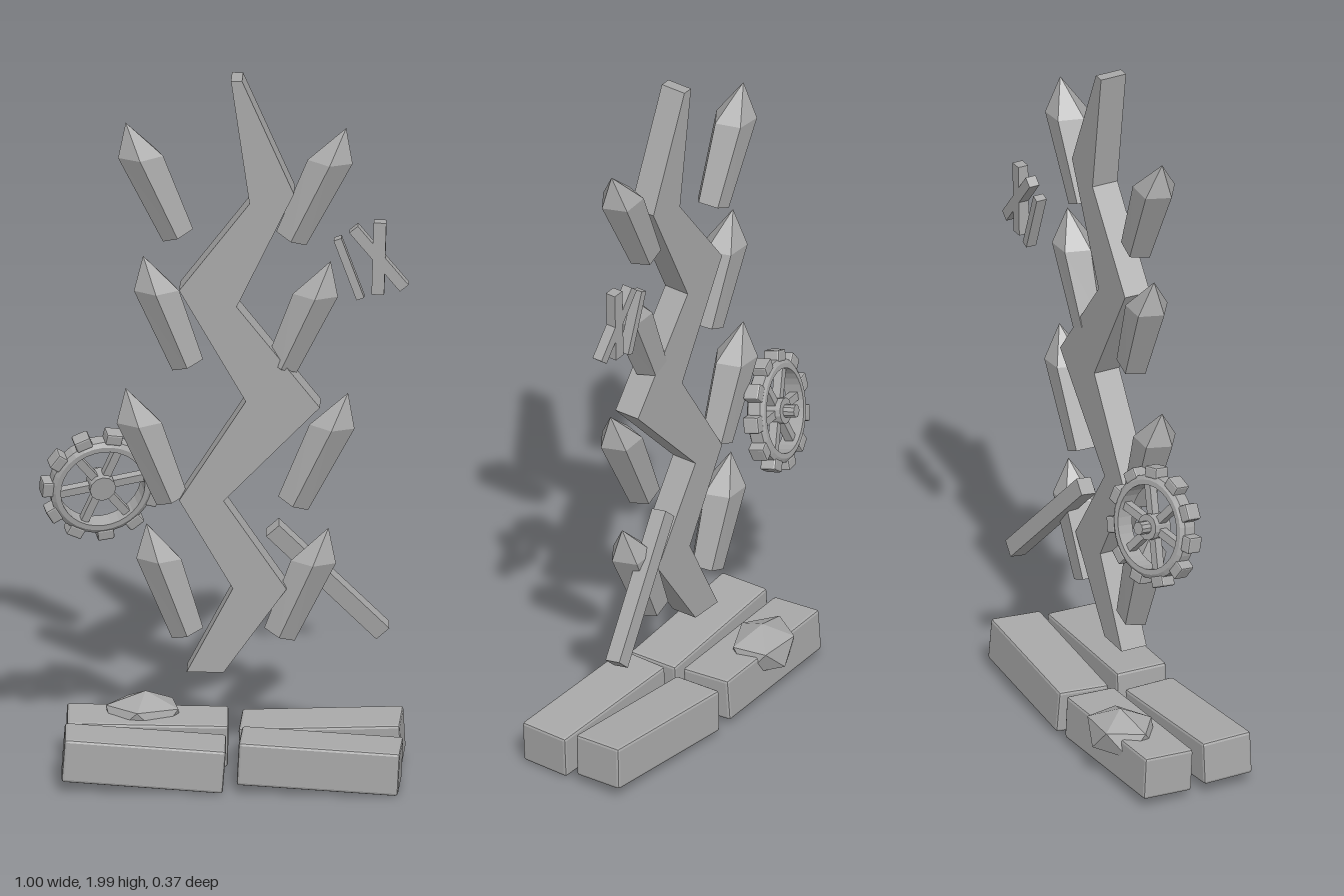
import * as THREE from 'three';
import { RoundedBoxGeometry } from 'three/addons/geometries/RoundedBoxGeometry.js';

const UP = new THREE.Vector3(0, 1, 0);

export function createModel() {
  const model = new THREE.Group();
  model.name = 'crystalTotem';
  const stone = new THREE.MeshStandardMaterial({ color: 0xa8a8a8, flatShading: true });
  stone.name = 'stone grey';

  function add(parent, name, geometry, pos = [0, 0, 0], rot = [0, 0, 0]) {
    const mesh = new THREE.Mesh(geometry, stone);
    mesh.name = name;
    mesh.position.set(...pos);
    mesh.rotation.set(...rot);
    parent.add(mesh);
    return mesh;
  }

  // Zigzag trunk: right edge downwards, then left edge upwards
  const outline = [
    [0.05, 2], [0.19, 1.68], [0.035, 1.355], [0.26, 1.07], [0, 0.8], [0.17, 0.55], [0, 0.31],
    [-0.1, 0.31], [0.025, 0.55], [-0.12, 0.8], [0.06, 1.085], [-0.12, 1.4], [0.07, 1.65], [0.02, 2],
  ].map(([x, y]) => new THREE.Vector2(x, y));
  const trunk = new THREE.ExtrudeGeometry(new THREE.Shape(outline), { depth: 0.076, bevelEnabled: false });
  add(model, 'zigzagTrunk', trunk, [0, 0, -0.037]);

  // Crystals: five-sided shafts widening to a slanted shoulder below a point
  const crystals = [
    [-0.266, 1.865, -0.124, 1.55], [-0.219, 1.485, -0.098, 1.18],
    [-0.266, 1.106, -0.14, 0.794], [-0.21, 0.72, -0.098, 0.413],
    [0.33, 1.857, 0.182, 1.545], [0.288, 1.476, 0.156, 1.18],
    [0.335, 1.1, 0.187, 0.788], [0.282, 0.714, 0.15, 0.413],
  ];
  for (const [tx, ty, bx, by] of crystals) {
    const length = Math.hypot(tx - bx, ty - by);
    const side = Math.sign(tx);
    const profile = [[0, 0], [0.047, 0], [0.06, length - 0.1], [0, length]]
      .map(([r, y]) => new THREE.Vector2(r, y));
    const geometry = new THREE.LatheGeometry(profile, 5);
    const p = geometry.attributes.position;
    for (let i = 0; i < p.count; i++) {
      const y = p.getY(i);
      if (y > 0.1 && y < length - 0.05) p.setY(i, y + side * p.getX(i) * 0.38);
    }
    add(model, 'crystal', geometry, [bx, by, 0], [0, 0, -Math.atan2(tx - bx, ty - by)]);
  }

  // Base slabs: position, then rotation
  const slabs = [
    [[-0.213, 0.086, 0.108], [0, 0.03, -0.075], 'frontRightSlab'],
    [[0.263, 0.084, 0.108], [0, -0.03, -0.05], 'frontLeftSlab'],
    [[-0.21, 0.09, -0.072], [0.06, 0.035, -0.02], 'backRightSlab'],
    [[0.262, 0.088, -0.072], [0.06, -0.035, 0.05], 'backLeftSlab'],
  ];
  for (const [pos, rot, name] of slabs) {
    add(model, name, new RoundedBoxGeometry(0.437, 0.122, 0.148, 1, 0.008), pos, rot);
  }

  // Rock lying on the back slab
  const rock = new THREE.IcosahedronGeometry(1, 0);
  rock.rotateZ(0.5);
  rock.scale(0.118, 0.07, 0.092);
  add(model, 'rock', rock, [-0.222, 0.137, -0.1], [0, 0.2, 0]);

  // Cog wheel, tilted behind the trunk
  const cog = new THREE.Group();
  cog.name = 'cogWheel';
  cog.position.set(-0.335, 0.81, -0.06);
  cog.rotation.set(0.22, 0.24, 0);
  model.add(cog);
  const rimProfile = [[0.116, -0.026], [0.13, -0.026], [0.142, -0.018], [0.142, 0.018],
    [0.13, 0.026], [0.116, 0.026], [0.116, -0.026]].map(([r, y]) => new THREE.Vector2(r, y));
  add(cog, 'rim', new THREE.LatheGeometry(rimProfile, 32), [0, 0, 0], [Math.PI / 2, 0, 0]);
  add(cog, 'hub', new THREE.CylinderGeometry(0.036, 0.036, 0.055, 12), [0, 0, 0], [Math.PI / 2, 0, 0]);
  add(cog, 'axle', new THREE.CylinderGeometry(0.018, 0.018, 0.05, 10), [0, 0, -0.035], [Math.PI / 2, 0, 0]);
  for (let i = 0; i < 6; i++) {
    const a = (i / 6) * Math.PI * 2 + 0.1;
    add(cog, 'spoke', new THREE.BoxGeometry(0.1, 0.022, 0.024),
      [Math.cos(a) * 0.075, Math.sin(a) * 0.075, 0], [0, 0, a]);
  }
  for (let i = 0; i < 11; i++) {
    const a = (i / 11) * Math.PI * 2 + 0.2;
    add(cog, 'tooth', new RoundedBoxGeometry(0.032, 0.046, 0.046, 1, 0.005),
      [Math.cos(a) * 0.15, Math.sin(a) * 0.15, 0], [0, 0, a]);
  }

  // Slanted stick behind the lowest left crystal
  const top = new THREE.Vector3(0.13, 0.705, -0.025);
  const end = new THREE.Vector3(0.425, 0.393, -0.088);
  const stick = add(model, 'stick', new THREE.BoxGeometry(0.048, top.distanceTo(end), 0.045));
  stick.position.addVectors(top, end).multiplyScalar(0.5);
  stick.quaternion.setFromUnitVectors(UP, top.clone().sub(end).normalize());

  // Small floating bars: a leaning one and a crossed pair
  const bars = [
    [0.335, 1.432, 0.18, 0.022, 0.35],
    [0.416, 1.463, 0.215, 0.03, 0.69],
    [0.416, 1.463, 0.205, 0.034, -0.03],
  ];
  for (const [x, y, length, width, tilt] of bars) {
    add(model, 'floatingBar', new THREE.BoxGeometry(width, length, 0.03), [x, y, -0.075], [0, 0, tilt]);
  }

  return model;
}
